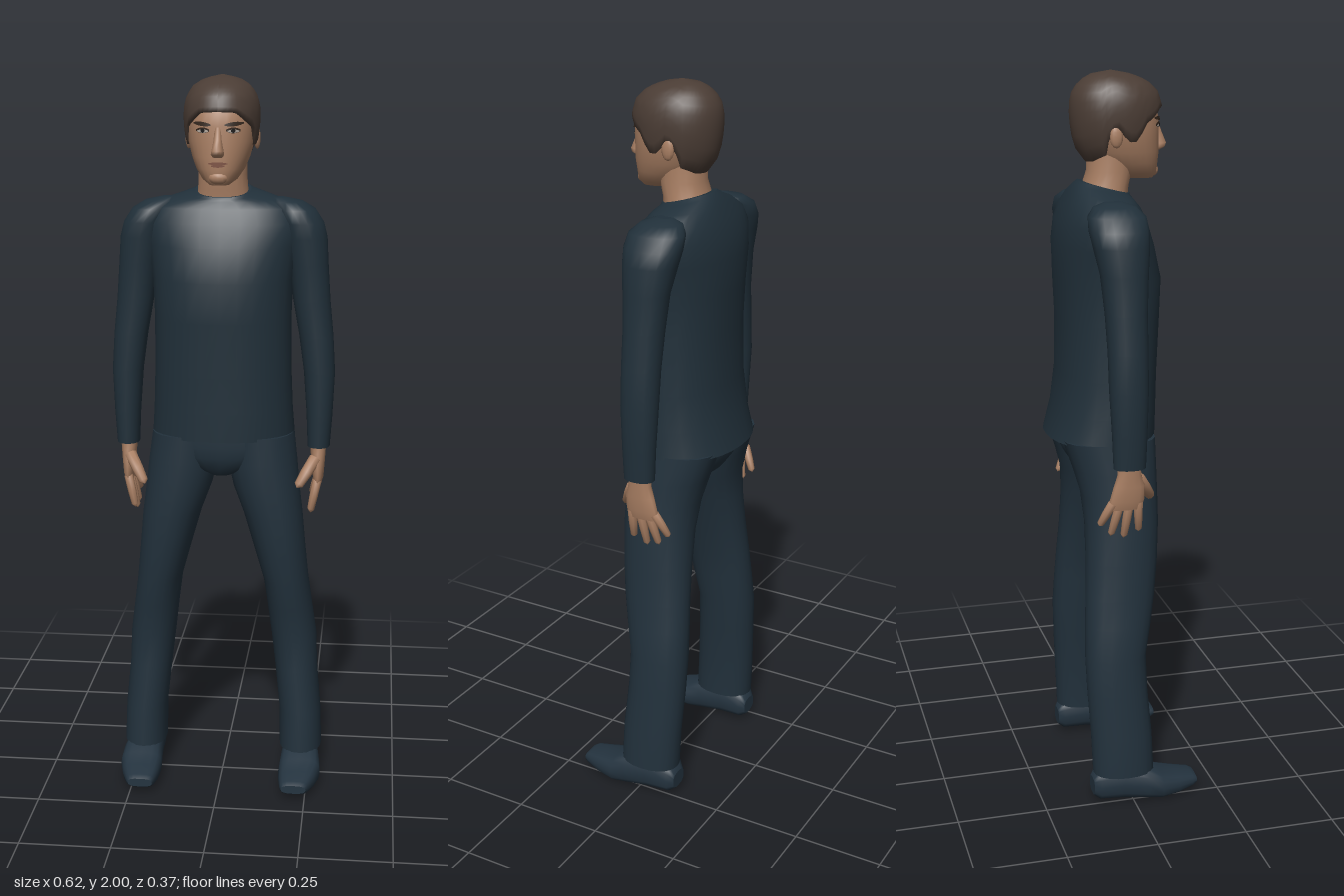
import * as THREE from 'three';

const mat = (name, color, side = THREE.FrontSide) => {
  const m = new THREE.MeshStandardMaterial({ color, side });
  m.name = name;
  return m;
};

// Signed power, used for rounded-box cross-sections
const spow = (v, n) => Math.sign(v) * Math.pow(Math.abs(v), 2 / n);

// Closed tube through rising sections [y, centreX, radiusX, frontZ, backZ, tilt]
function loft(sections, sides = 20, n = 2.2) {
  const pos = [], idx = [];
  const ring = ([y, cx, rx, zf, zb, tilt = 0]) => {
    for (let j = 0; j < sides; j++) {
      const t = (j / sides) * Math.PI * 2;
      const dz = spow(Math.cos(t), n) * (zf - zb) / 2;
      pos.push(cx + rx * spow(Math.sin(t), n), y + tilt * dz, (zf + zb) / 2 + dz);
    }
  };
  sections.forEach(ring);
  for (let i = 0; i < sections.length - 1; i++) {
    for (let j = 0; j < sides; j++) {
      const k = (j + 1) % sides, a = i * sides, b = a + sides;
      idx.push(a + j, a + k, b + k, a + j, b + k, b + j);
    }
  }
  // End caps with their own corners, so rims stay crisp
  [sections[0], sections[sections.length - 1]].forEach((s, end) => {
    const base = pos.length / 3;
    ring(s);
    pos.push(s[1], s[0], (s[3] + s[4]) / 2);
    for (let j = 0; j < sides; j++) {
      const k = (j + 1) % sides;
      idx.push(base + (end ? j : k), base + (end ? k : j), base + sides);
    }
  });
  const g = new THREE.BufferGeometry();
  g.setAttribute('position', new THREE.Float32BufferAttribute(pos, 3));
  g.setIndex(idx);
  g.computeVertexNormals();
  return g;
}

// Linear lookup in rows whose first entry is the key
function sample(rows, key) {
  let i = 0;
  while (i < rows.length - 2 && key > rows[i + 1][0]) i++;
  const a = rows[i], b = rows[i + 1];
  const f = THREE.MathUtils.clamp((key - a[0]) / (b[0] - a[0]), 0, 1);
  return a.map((v, k) => v + (b[k] - v) * f);
}

const HEAD = [
  [1.718, 0, 0.026, 0.115, 0.05], [1.732, 0, 0.046, 0.126, 0], [1.76, 0, 0.065, 0.127, -0.04],
  [1.79, 0, 0.077, 0.13, -0.068], [1.83, 0, 0.088, 0.128, -0.085], [1.87, 0, 0.091, 0.128, -0.095],
  [1.91, 0, 0.091, 0.122, -0.1], [1.95, 0, 0.078, 0.1, -0.085], [1.98, 0, 0.045, 0.05, -0.045],
];
const HAIR = [
  [1.76, 0, 0.068, 0.125, -0.065], [1.79, 0, 0.083, 0.13, -0.092], [1.83, 0, 0.096, 0.134, -0.104],
  [1.87, 0, 0.101, 0.138, -0.11], [1.91, 0, 0.102, 0.138, -0.112], [1.945, 0, 0.094, 0.126, -0.104],
  [1.972, 0, 0.076, 0.098, -0.085], [1.99, 0, 0.047, 0.055, -0.055], [2, 0, 0, 0, 0],
];
// Hairline height by angle from the front, in degrees
const HAIRLINE = [
  [0, 1.907], [28, 1.905], [48, 1.88], [62, 1.865], [72, 1.82], [86, 1.82],
  [96, 1.855], [108, 1.845], [120, 1.785], [150, 1.767], [180, 1.764],
];

// Cap of hair: columns run from the hairline to the crown, first row tucked inward
function hairGeometry(cols = 48, rows = 12) {
  const g = new THREE.PlaneGeometry(1, 1, cols, rows);
  const p = g.attributes.position;
  for (let i = 0; i < p.count; i++) {
    const c = i % (cols + 1), r = rows - Math.floor(i / (cols + 1));
    const t = ((c % cols) / cols) * Math.PI * 2;
    const deg = Math.abs(((t * 180 / Math.PI + 180) % 360) - 180);
    const low = sample(HAIRLINE, deg)[1];
    const f = Math.max(0, r - 1) / (rows - 1);
    const y = low + (2 - low) * Math.sin(f * Math.PI / 2);
    const [, , rx, zf, zb] = sample(HAIR, y);
    const k = r === 0 ? 0.86 : 1;
    p.setXYZ(i, rx * k * Math.sin(t), y, (zf + zb) / 2 + (zf - zb) / 2 * k * Math.cos(t));
  }
  g.computeVertexNormals();
  return g;
}

// Thin patch laid on the face, with slanted and tapered ends
function facePatch(x, y, w, h, slope = 0, lift = 0.002) {
  const g = new THREE.PlaneGeometry(w, h, 6, 2);
  const p = g.attributes.position;
  for (let i = 0; i < p.count; i++) {
    const u = p.getX(i), px = x + u;
    const py = y + p.getY(i) * (1 - 0.7 * Math.pow(2 * Math.abs(u) / w, 2)) + slope * u;
    const [, , rx, zf, zb] = sample(HEAD, py);
    const c = Math.pow(Math.max(0, 1 - Math.pow(Math.abs(px) / rx, 2.2)), 1 / 2.2);
    p.setXYZ(i, px, py, (zf + zb) / 2 + (zf - zb) / 2 * c + lift);
  }
  g.computeVertexNormals();
  return g;
}

// Tapered rounded rod between two points, for fingers
function rod(a, b, r) {
  const A = new THREE.Vector3(...a), B = new THREE.Vector3(...b), d = B.clone().sub(A), len = d.length();
  const prof = [[0.01, 0], [1, 0], [0.95, 0.5], [0.75, 0.9], [0.01, 1]];
  const g = new THREE.LatheGeometry(prof.map(([k, f]) => new THREE.Vector2(k * r, f * len)), 8);
  g.applyQuaternion(new THREE.Quaternion().setFromUnitVectors(new THREE.Vector3(0, 1, 0), d.normalize()));
  return g.translate(...a);
}

export function createModel() {
  const model = new THREE.Group();
  model.name = 'standingMan';
  const shirt = mat('shirtNavy', 0x21303a), trousers = mat('trouserNavy', 0x22313c);
  const shoe = mat('shoeNavy', 0x24333f), skin = mat('skin', 0xaa8064);
  const hair = mat('hairBrown', 0x4b3d35, THREE.DoubleSide), brow = mat('browBrown', 0x35281f);
  const white = mat('eyeWhite', 0xb5aaa0), iris = mat('irisDark', 0x1e1c1c), lip = mat('lips', 0x85594a);
  const add = (name, geo, m) => {
    const mesh = new THREE.Mesh(geo, m);
    mesh.name = name;
    model.add(mesh);
    return mesh;
  };

  // Shirt body, from hem to collar
  add('shirtBody', loft([
    [1.022, 0, 0.2, 0.113, -0.185], [1.1, 0, 0.194, 0.115, -0.165], [1.2, 0, 0.19, 0.117, -0.152],
    [1.35, 0, 0.188, 0.124, -0.15], [1.46, 0, 0.192, 0.128, -0.155], [1.55, 0, 0.205, 0.106, -0.156],
    [1.61, 0, 0.218, 0.085, -0.146], [1.65, 0, 0.2, 0.066, -0.13], [1.676, 0, 0.145, 0.054, -0.115, -0.1],
    [1.69, 0, 0.092, 0.05, -0.1, -0.22], [1.698, 0, 0.076, 0.048, -0.09, -0.26],
  ], 28), shirt);

  // Hips
  add('hips', loft([
    [0.915, 0, 0.04, 0.06, -0.085], [0.94, 0, 0.12, 0.085, -0.115], [0.97, 0, 0.175, 0.093, -0.135],
    [1.0, 0, 0.203, 0.096, -0.15], [1.04, 0, 0.194, 0.096, -0.15],
  ], 24), trousers);

  // Head, neck, nose and hair
  add('head', loft(HEAD, 28), skin);
  add('neck', loft([[1.64, 0, 0.08, 0.04, -0.09], [1.7, 0, 0.068, 0.046, -0.078],
    [1.74, 0, 0.066, 0.055, -0.064], [1.8, 0, 0.066, 0.055, -0.062]]), skin);
  add('nose', loft([[1.79, 0, 0.012, 0.135, 0.11], [1.798, 0, 0.018, 0.15, 0.11],
    [1.808, 0, 0.016, 0.154, 0.11], [1.835, 0, 0.011, 0.142, 0.11], [1.868, 0, 0.008, 0.13, 0.11]], 10), skin);
  add('chin', new THREE.SphereGeometry(0.022, 12, 8).scale(1.2, 0.8, 0.7).translate(0, 1.738, 0.115), skin);
  add('hair', hairGeometry(), hair);
  add('upperLip', facePatch(0, 1.775, 0.05, 0.008), lip);
  add('lowerLip', facePatch(0, 1.769, 0.036, 0.008), lip);

  for (const s of [1, -1]) {
    const side = s > 0 ? 'left' : 'right';
    const m = (rows) => rows.map(([y, cx, ...r]) => [y, cx * s, ...r]);

    // Facial details
    add(side + 'Brow', facePatch(s * 0.042, 1.876, 0.048, 0.011, s * 0.1, 0.004), brow);
    add(side + 'EyeRim', facePatch(s * 0.04, 1.86, 0.036, 0.015), brow);
    add(side + 'Eye', facePatch(s * 0.04, 1.858, 0.03, 0.009, 0, 0.003), white);
    add(side + 'Iris', facePatch(s * 0.04, 1.859, 0.011, 0.011, 0, 0.004), iris);
    add(side + 'Ear', new THREE.SphereGeometry(0.03, 10, 8).scale(0.3, 1, 0.6)
      .translate(s * 0.092, 1.835, -0.008), skin);

    // Sleeve from cuff to shoulder
    add(side + 'Sleeve', loft(m([
      [0.99, 0.268, 0.031, 0.025, -0.062], [1.08, 0.269, 0.036, 0.028, -0.066],
      [1.2, 0.267, 0.043, 0.031, -0.073], [1.3, 0.257, 0.047, 0.032, -0.074],
      [1.4, 0.243, 0.051, 0.033, -0.078], [1.5, 0.233, 0.054, 0.038, -0.088],
      [1.57, 0.222, 0.061, 0.044, -0.104], [1.61, 0.211, 0.062, 0.046, -0.112],
      [1.645, 0.192, 0.058, 0.042, -0.11], [1.666, 0.17, 0.045, 0.022, -0.09],
      [1.676, 0.15, 0.02, -0.01, -0.055],
    ])), shirt);

    // Palm, four spread fingers and thumb
    add(side + 'Palm', loft(m([
      [0.875, 0.265, 0.011, 0.014, -0.072], [0.9, 0.268, 0.015, 0.022, -0.074],
      [0.94, 0.267, 0.019, 0.023, -0.062], [0.97, 0.267, 0.021, 0.014, -0.052], [1.0, 0.267, 0.023, 0.012, -0.05],
    ]), 14), skin);
    [[0.006, 0.012, 0.803], [-0.018, -0.03, 0.788], [-0.043, -0.066, 0.797], [-0.064, -0.097, 0.827]]
      .forEach(([z0, z1, y1], i) => add(side + 'Finger' + (i + 1),
        rod([s * 0.267, 0.895, z0], [s * 0.247, y1, z1], 0.0125), skin));
    add(side + 'Thumb', rod([s * 0.26, 0.958, 0.008], [s * 0.212, 0.885, 0.058], 0.017), skin);

    // Trouser leg
    add(side + 'TrouserLeg', loft(m([
      [0.088, 0.228, 0.061, 0.063, -0.11], [0.2, 0.225, 0.06, 0.058, -0.115], [0.33, 0.212, 0.061, 0.048, -0.122],
      [0.43, 0.204, 0.065, 0.045, -0.125], [0.52, 0.192, 0.064, 0.062, -0.122], [0.6, 0.181, 0.064, 0.075, -0.118],
      [0.7, 0.162, 0.073, 0.087, -0.112], [0.8, 0.143, 0.083, 0.094, -0.11], [0.88, 0.123, 0.093, 0.096, -0.116],
      [0.95, 0.111, 0.098, 0.096, -0.135], [1.03, 0.103, 0.096, 0.095, -0.162],
    ])), trousers);

    // Shoe, lofted from heel to toe: [z, x, half width, -sole, -top]
    add(side + 'Shoe', loft(m([
      [-0.112, 0.224, 0.03, -0.022, -0.07], [-0.095, 0.225, 0.045, -0.01, -0.1], [-0.03, 0.228, 0.05, -0.008, -0.112],
      [0.04, 0.23, 0.057, -0.002, -0.1], [0.08, 0.23, 0.06, 0, -0.078], [0.13, 0.225, 0.052, -0.004, -0.064],
      [0.175, 0.22, 0.041, -0.014, -0.054], [0.188, 0.219, 0.035, -0.022, -0.046],
    ]), 16, 2.8).rotateX(Math.PI / 2), shoe);
  }
  return model;
}
